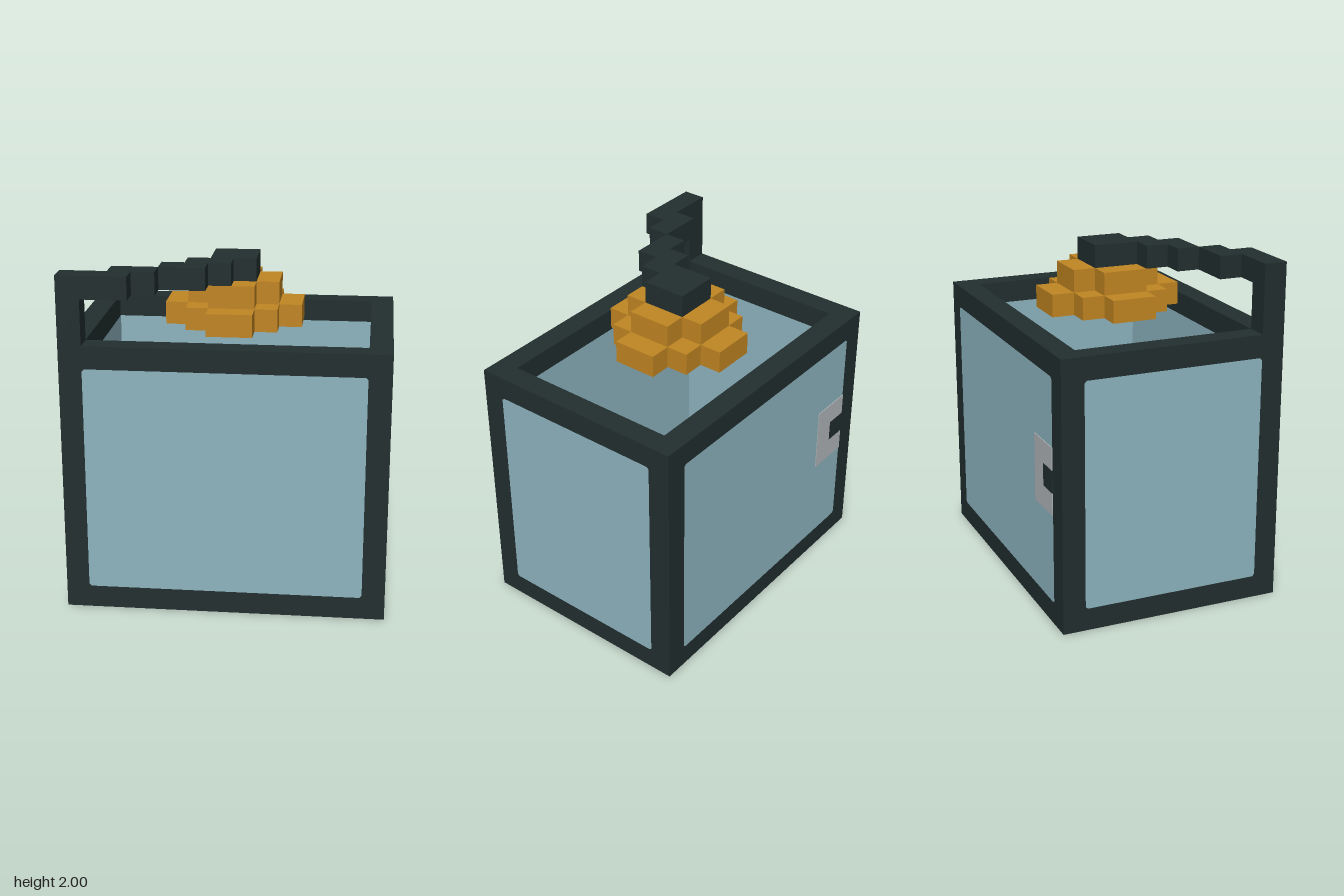
import * as THREE from 'three';

const U = 2 / 15; // one block of the grid

const mat = (name, color) => {
  const m = new THREE.MeshStandardMaterial({ color });
  m.name = name;
  return m;
};

export function createModel() {
  const frame = mat('dark frame', 0x222e2e);
  const glass = mat('pale glass', 0x8db4bf);
  const copper = mat('copper', 0xc08522);
  const soil = mat('soil', 0x402b22);
  const stone = mat('stone', 0x7a8692);
  const bark = mat('bark', 0x5c4c40);
  const wood = mat('cut wood', 0x7d6249);
  const metal = mat('latch metal', 0xb0b5b9);

  const model = new THREE.Group();
  model.name = 'terrarium';
  const group = (name) => {
    const g = new THREE.Group();
    g.name = name;
    model.add(g);
    return g;
  };
  const add = (parent, name, geometry, material) => {
    const m = new THREE.Mesh(geometry, material);
    m.name = name;
    parent.add(m);
    return m;
  };
  // Box between two corners, in blocks
  const block = (parent, name, material, x0, x1, y0, y1, z0, z1) => {
    const g = new THREE.BoxGeometry((x1 - x0) * U, (y1 - y0) * U, (z1 - z0) * U);
    add(parent, name, g, material).position.set((x0 + x1) / 2 * U, (y0 + y1) / 2 * U, (z0 + z1) / 2 * U);
  };
  const polygon = (pts) => new THREE.Shape(pts.map(([x, y]) => new THREE.Vector2(x * U, y * U)));

  // Tank: a rectangular tube with a floor
  const tank = group('tank');
  const ring = polygon([[-7, -5], [7, -5], [7, 5], [-7, 5]]);
  ring.holes.push(polygon([[-6, -4], [-6, 4], [6, 4], [6, -4]]));
  const walls = new THREE.ExtrudeGeometry(ring, { depth: 12 * U, bevelEnabled: false });
  walls.rotateX(-Math.PI / 2);
  add(tank, 'walls', walls, frame);
  block(tank, 'base', frame, -6, 6, 0, 1, -4, 4);

  // Glass faces outside (nipped corners) and inside
  const panes = group('panes');
  const paneShape = (w, c) => new THREE.ShapeGeometry(polygon([
    [-w + c, 1], [w - c, 1], [w, 1 + c], [w, 11 - c], [w - c, 11], [-w + c, 11], [-w, 11 - c], [-w, 1 + c],
  ]));
  const sides = [['front', 6, 5, 0], ['left', 4, 7, 1], ['back', 6, 5, 2], ['right', 4, 7, 3]];
  for (const [name, w, d, turn] of sides) {
    const side = new THREE.Group();
    side.name = name + 'Panes';
    side.rotation.y = turn * Math.PI / 2;
    panes.add(side);
    add(side, 'outerPane', paneShape(w, 0.1), glass).position.z = d * U + 0.002;
    const inner = add(side, 'innerPane', paneShape(w, 0), glass);
    inner.rotation.y = Math.PI;
    inner.position.z = (d - 1) * U - 0.002;
  }

  // Latch on the back, seen from both sides
  const latch = group('latch');
  for (const z of [-5.03, -3.97]) {
    block(latch, 'latchBar', metal, -5, -4, 5, 8, z - 0.02, z + 0.02);
    for (const y of [5, 7]) block(latch, 'latchArm', metal, -6, -5, y, y + 1, z - 0.02, z + 0.02);
    block(latch, 'latchSlot', frame, -6, -5, 6, 7, z - 0.02, z + 0.02);
  }

  // Floor with a log, a stone and pebbles
  const ground = group('ground');
  const patch = (name, material, x0, x1, z0, z1, y = 1.06) =>
    block(ground, name, material, x0, x1, 1, y, z0, z1);
  patch('soil', soil, -6, 6, -4, 4, 1.03);
  patch('log', bark, 2, 5, 0, 4);
  patch('logEnd', wood, 1, 2, 0, 4);
  patch('logEnd', wood, 5, 6, 0, 4);
  patch('stone', stone, 2, 5, -3, -1);
  patch('stoneTip', stone, 3, 4, -4, -3);
  patch('stoneTip', stone, 3, 4, -1, 0);
  patch('pebble', bark, -3, -2, -4, -3);
  patch('pebble', bark, -4, -3, -2, -1);

  // Stepped lamp shade: cross-shaped crown over a ring
  const shade = group('lampShade');
  block(shade, 'crown', copper, -1, 1, 13, 14, -2, 2);
  for (const s of [-1, 1]) {
    const [a, b] = s < 0 ? [-2, -1] : [1, 2];
    const [c, d] = s < 0 ? [-3, -2] : [2, 3];
    block(shade, 'crownArm', copper, a, b, 13, 14, -1, 1);
    block(shade, 'rimEnd', copper, -1, 1, 12, 13, c, d);
    block(shade, 'rimSide', copper, c, d, 12, 13, -1, 1);
    block(shade, 'rimCorner', copper, a, b, 12, 13, -2, -1);
    block(shade, 'rimCorner', copper, a, b, 12, 13, 1, 2);
  }

  // Stepped arm that carries the lamp
  const arm = group('lampArm');
  block(arm, 'post', frame, -7, -6, 12, 14, 4, 5);
  const steps = [[-7, -4, 4, 5], [-5, -3, 3, 4], [-3, -1, 2, 3], [-2, 0, 1, 2], [-1, 1, -1, 1]];
  for (const [x0, x1, z0, z1] of steps) block(arm, 'armStep', frame, x0, x1, 14, 15, z0, z1);

  return model;
}
